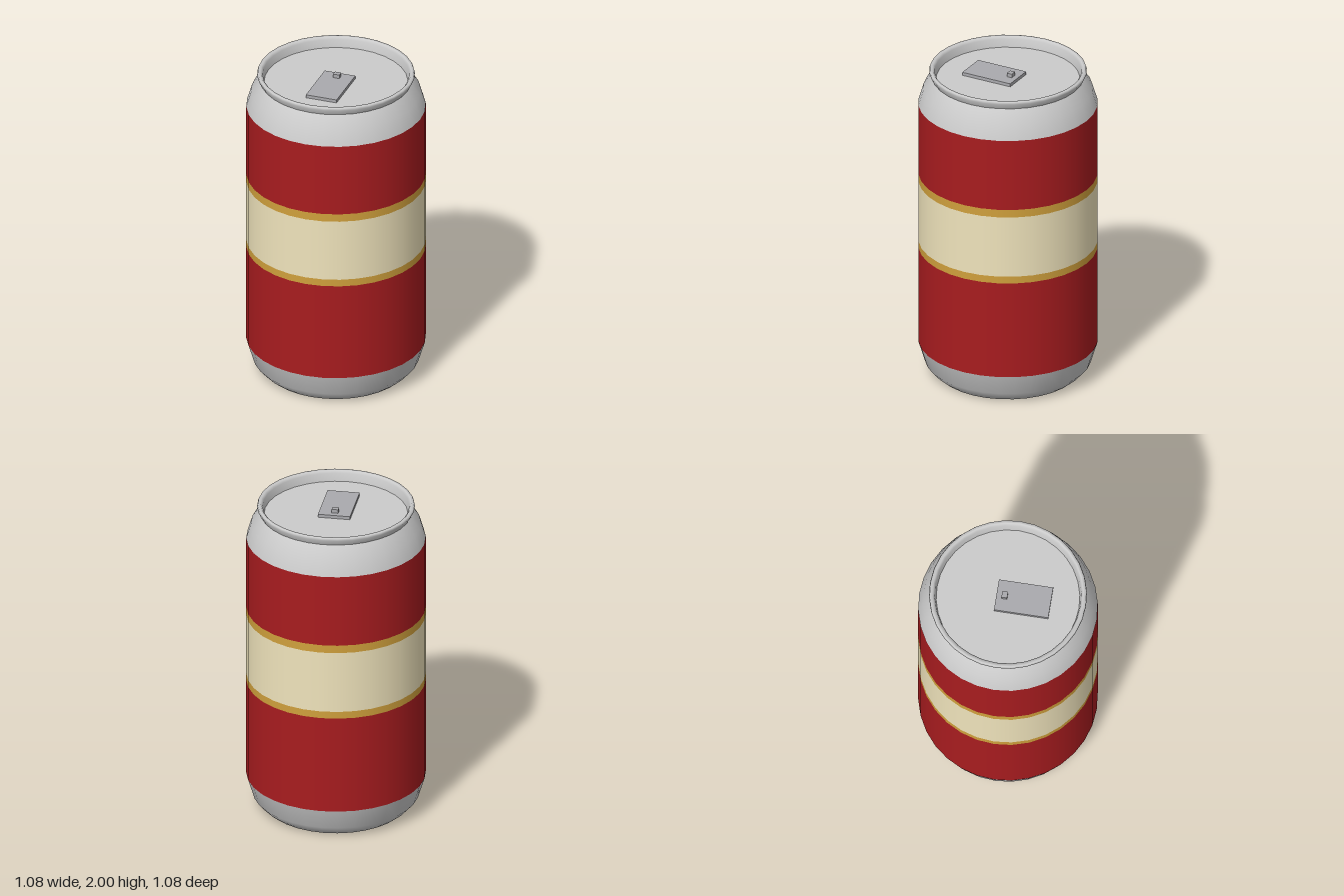
import * as THREE from 'three';

const SIDES = 32;
const RADIUS = 0.54;
const GREY = 0xcccccc;

function part(name, geometry, color, side = THREE.FrontSide) {
  const mesh = new THREE.Mesh(geometry, new THREE.MeshStandardMaterial({ color, side }));
  mesh.name = name;
  return mesh;
}

// Surface of revolution; points run from bottom to top on outward-facing walls
function turned(name, points, color = GREY) {
  const profile = points.map(([r, y]) => new THREE.Vector2(r, y));
  return part(name, new THREE.LatheGeometry(profile, SIDES), color, THREE.DoubleSide);
}

function block(name, [w, h, d], [x, y, z], color) {
  const mesh = part(name, new THREE.BoxGeometry(w, h, d), color);
  mesh.position.set(x, y, z);
  return mesh;
}

export function createModel() {
  const can = new THREE.Group();
  can.name = 'drinkCan';

  // Concave base and the tapered wall above it
  can.add(turned('baseDome', [[0, 0.1], [0.15, 0.09], [0.3, 0.06], [0.39, 0.025], [0.43, 0]]));
  can.add(turned('baseTaper', [[0.43, 0], [0.46, 0.025], [0.5, 0.07], [RADIUS, 0.2]]));

  // Painted bands of the straight wall
  const bands = [
    ['lowerRedBand', 0.2, 0.825, 0xa81c1f],
    ['lowerGoldStripe', 0.825, 0.87, 0xd0a03c],
    ['creamBand', 0.87, 1.265, 0xf0e4bc],
    ['upperGoldStripe', 1.265, 1.315, 0xd0a03c],
    ['upperRedBand', 1.315, 1.775, 0xa81c1f],
  ];
  for (const [name, y0, y1, color] of bands) {
    can.add(turned(name, [[RADIUS, y0], [RADIUS, y1]], color));
  }

  // Shoulder narrowing to the neck, then the rolled rim
  can.add(turned('shoulder', [[RADIUS, 1.775], [0.51, 1.875], [0.457, 1.95]]));
  can.add(turned('rim', [[0.457, 1.95], [0.475, 1.985], [0.47, 2], [0.453, 2], [0.441, 1.985], [0.432, 1.935]]));

  // Recessed lid
  const lid = part('lid', new THREE.CircleGeometry(0.432, SIDES), GREY);
  lid.rotation.x = -Math.PI / 2;
  lid.position.y = 1.935;
  can.add(lid);

  // Pull tab and its rivet
  can.add(block('pullTab', [0.196, 0.02, 0.33], [0, 1.945, 0.095], 0xaaaaae));
  can.add(block('rivet', [0.04, 0.025, 0.034], [0, 1.966, -0.02], 0xaaaaae));

  return can;
}
